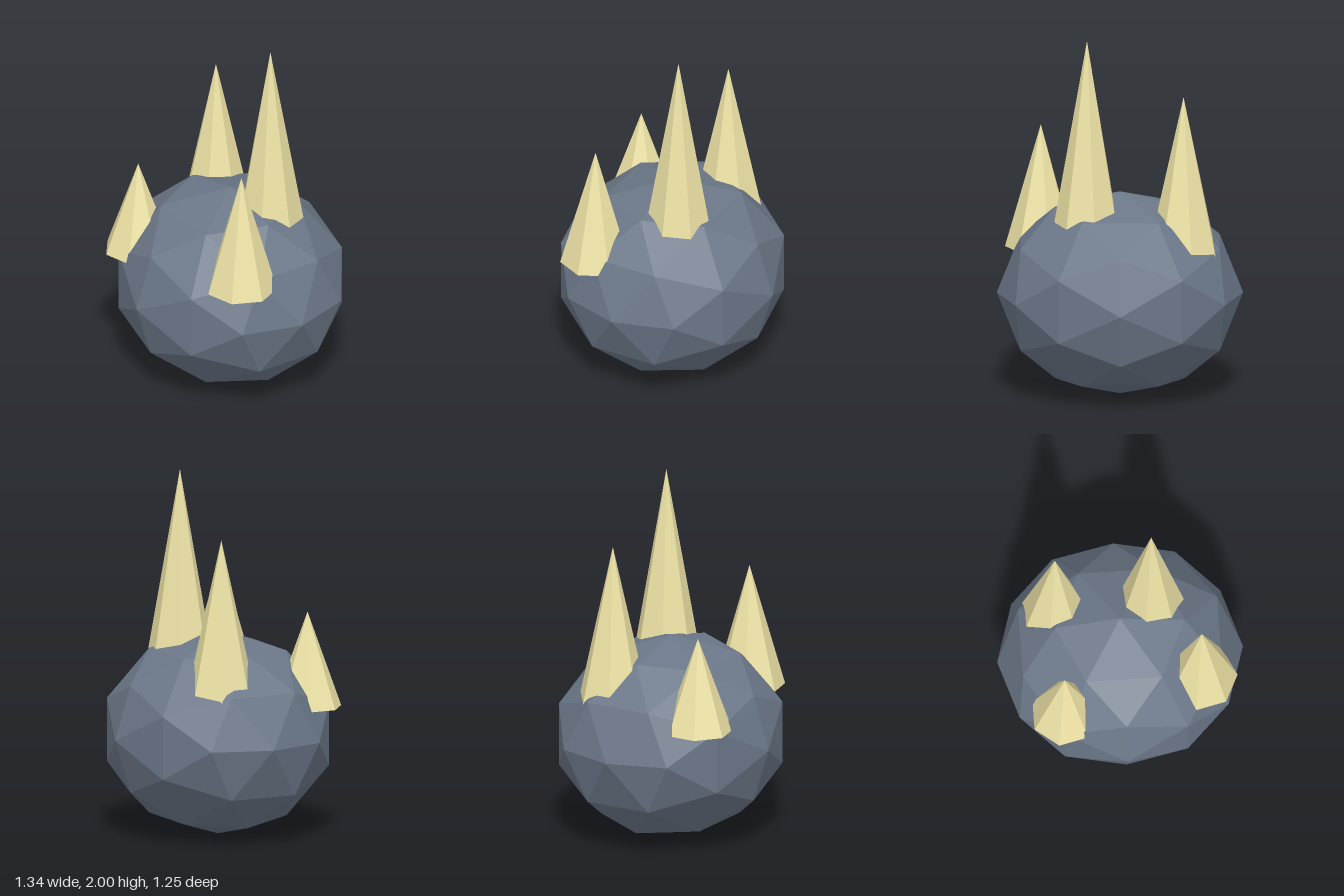
import * as THREE from 'three';

// Faceted boulder with four seven-sided spikes rising from its top.
export function createModel() {
  const group = new THREE.Group();
  const stone = new THREE.MeshStandardMaterial({ color: 0x6b7788, flatShading: true });
  const horn = new THREE.MeshStandardMaterial({ color: 0xeee3a6, flatShading: true });

  // Low-poly body, slightly squashed
  const body = new THREE.Mesh(new THREE.IcosahedronGeometry(1, 1), stone);
  body.name = 'body';
  body.scale.set(0.67, 0.563, 0.627);
  body.position.y = 0.566;
  group.add(body);

  // Upright spikes, each with a base corner pointing to +x
  const addSpike = (name, x, z, baseY, tipY, radius) => {
    const height = tipY - baseY;
    const spike = new THREE.Mesh(
      new THREE.ConeGeometry(radius, height, 7, 1, false, Math.PI / 2), horn);
    spike.name = name;
    spike.position.set(x, baseY + height / 2, z);
    group.add(spike);
  };
  addSpike('backLeftSpike', 0.18, -0.14, 0.88, 2.0, 0.197);
  addSpike('backRightSpike', -0.345, -0.155, 0.81, 1.69, 0.195);
  addSpike('frontLeftSpike', 0.43, 0.237, 0.77, 1.45, 0.195);
  addSpike('frontRightSpike', -0.328, 0.38, 0.725, 1.25, 0.189);

  return group;
}
